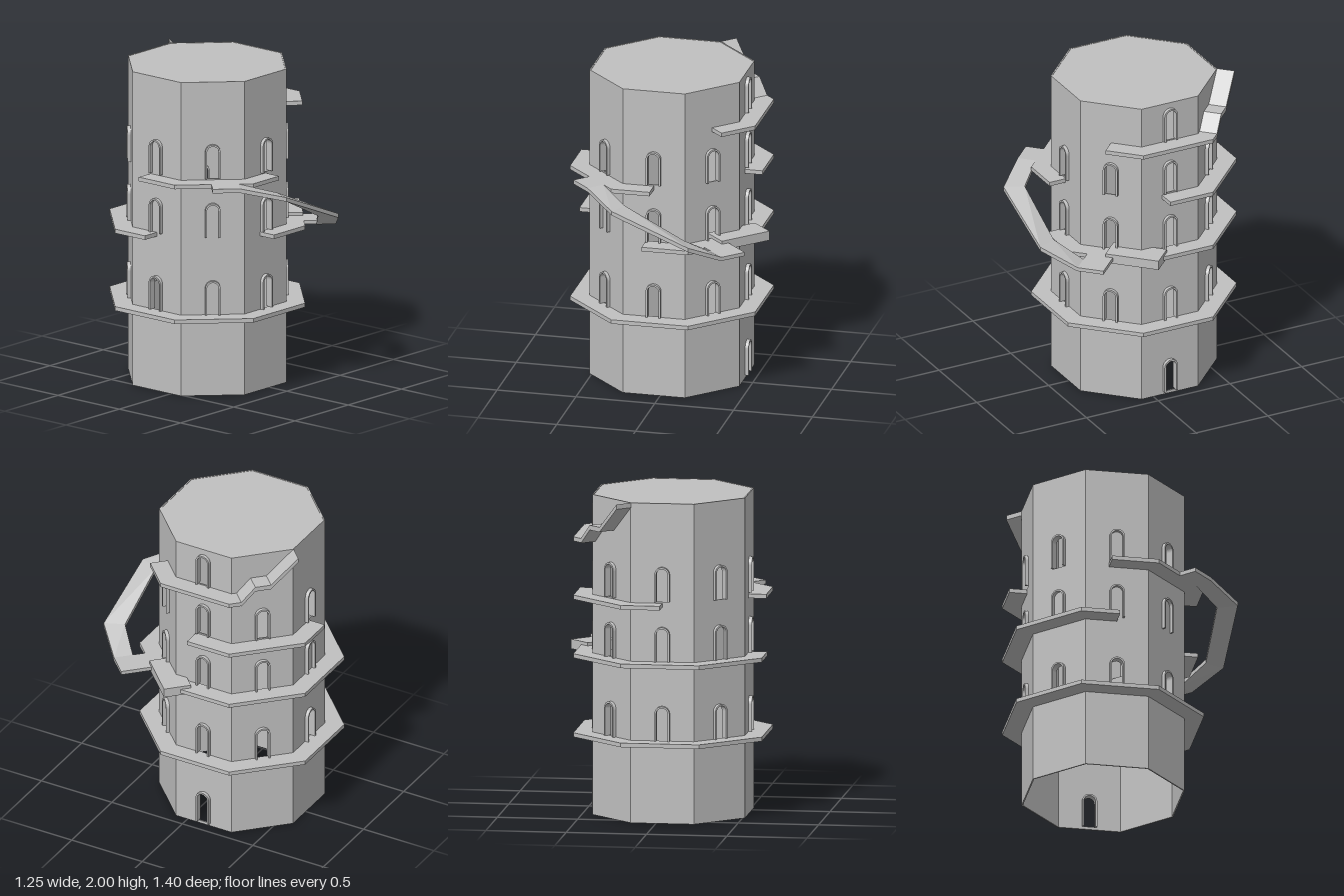
import * as THREE from 'three';

const CX = -0.04, CZ = -0.115;      // tower axis
const R = 0.475, OUT = 0.587;       // wall and walkway apothems
const TAN = Math.tan(Math.PI / 8);
const HALF = R * TAN;

// Point on octagon side k (0 = front, counting towards +x), r outwards, t along the side
function at(k, r, t) {
  const a = k * Math.PI / 4;
  return [CX + r * Math.sin(a) + t * Math.cos(a), CZ + r * Math.cos(a) - t * Math.sin(a)];
}
const cut = (k, t, y, r0 = R, r1 = OUT) => [at(k, r0, t), at(k, r1, t), y];

// Solid slab through cross-sections [inner xz, outer xz, top y]
function slab(sections, thick) {
  const loops = sections.map(([i, o, y]) => [
    [i[0], y, i[1]], [o[0], y, o[1]], [o[0], y - thick, o[1]], [i[0], y - thick, i[1]]]);
  const pos = [];
  const quad = (a, b, c, d) => pos.push(...a, ...b, ...c, ...a, ...c, ...d);
  for (let s = 0; s < loops.length - 1; s++) {
    const p = loops[s], q = loops[s + 1];
    for (let j = 0; j < 4; j++) quad(p[j], p[(j + 1) % 4], q[(j + 1) % 4], q[j]);
  }
  const f = loops[0], l = loops[loops.length - 1];
  quad(f[0], f[3], f[2], f[1]);
  quad(l[0], l[1], l[2], l[3]);
  const g = new THREE.BufferGeometry();
  g.setAttribute('position', new THREE.Float32BufferAttribute(pos, 3));
  g.computeVertexNormals();
  return g;
}

// Walkway sections from side k0 to side k1, turning at each corner
function walkway(k0, t0, k1, t1, y) {
  const list = [cut(k0, t0, y)];
  for (let k = k0; k < k1; k++) list.push([at(k, R, R * TAN), at(k, OUT, OUT * TAN), y]);
  list.push(cut(k1, t1, y));
  return slab(list, 0.026);
}

// Round-topped opening outline
function arch(path, half, y0, top) {
  path.moveTo(-half, y0);
  path.lineTo(half, y0);
  path.lineTo(half, top - half);
  path.absarc(0, top - half, half, 0, Math.PI, false);
  path.lineTo(-half, y0);
  return path;
}

// Arched frame open at its foot
function frameGeometry() {
  const w = 0.047, n = 0.036, h = 0.218, s = new THREE.Shape();
  s.moveTo(n, 0);
  s.lineTo(w, 0);
  s.lineTo(w, h - w);
  s.absarc(0, h - w, w, 0, Math.PI, false);
  s.lineTo(-w, 0);
  s.lineTo(-n, 0);
  s.lineTo(-n, h - w);
  s.absarc(0, h - w, n, Math.PI, 0, true);
  s.lineTo(n, 0);
  return new THREE.ExtrudeGeometry(s, { depth: 0.045, bevelEnabled: false, curveSegments: 8 });
}

export function createModel() {
  const group = new THREE.Group();
  const stone = new THREE.MeshStandardMaterial({ color: 0xc0c0c0 });
  stone.name = 'grey stone';
  const add = (name, geometry, parent = group) => {
    const m = new THREE.Mesh(geometry, stone);
    m.name = name;
    parent.add(m);
    return m;
  };

  // Eight wall panels with arched windows; some on the middle levels are blind
  const frame = frameGeometry();
  const blind = { 1.01: [4, 5, 6, 7], 1.385: [6] };
  for (let k = 0; k < 8; k++) {
    const side = new THREE.Group();
    side.name = 'wallSide';
    side.position.set(CX, 0, CZ);
    side.rotation.y = k * Math.PI / 4;
    group.add(side);
    const levels = k === 2 ? [0.018, 0.516, 1.01, 1.385, 1.745] : [0.516, 1.01, 1.385];
    const wall = new THREE.Shape();
    wall.moveTo(-HALF, 0);
    wall.lineTo(HALF, 0);
    wall.lineTo(HALF, 2);
    wall.lineTo(-HALF, 2);
    for (const y of levels) {
      if (!(blind[y] || []).includes(k)) wall.holes.push(arch(new THREE.Path(), 0.037, y, y + 0.208));
      add('windowFrame', frame, side).position.set(0, y, R - 0.023);
    }
    const panel = new THREE.ExtrudeGeometry(wall, { depth: 0.008, bevelEnabled: false, curveSegments: 8 });
    add('wallPanel', panel, side).position.z = R - 0.008;
  }

  // Roof
  const roof = add('roof', new THREE.CylinderGeometry(0.505, 0.505, 0.01, 8));
  roof.position.set(CX, 1.993, CZ);
  roof.rotation.y = Math.PI / 8;

  // Walkways around the tower
  add('lowerWalkway', walkway(0, 0, 8, 0, 0.516));
  add('middleWalkway', walkway(0, -0.05, 6, 0, 1.01));
  add('upperWalkwayLeft', walkway(6, -0.05, 8, 0, 1.376));
  add('upperWalkwayRight', walkway(2, -0.055, 4, 0, 1.376));
  add('topWalkway', walkway(1, 0, 3, -0.165, 1.74));

  // Stair from the top walkway to the roof
  add('roofStair', slab([[-0.165, 1.74], [-0.075, 1.835], [0.025, 1.835], [0.199, 2]]
    .map(([t, y]) => cut(3, t, y)), 0.03));

  // Thick platform and the outer ramp with its landings
  add('platform', slab([cut(1, 0, 1.03, 0.42, 0.592), cut(1, 0.343, 1.03, 0.42, 0.592)], 0.06));
  add('rampLanding', slab([cut(1, -0.12, 1.01, R, 0.785), cut(1, 0.047, 1.01, R, 0.785)], 0.024));
  add('outerRamp', slab([
    cut(7, -0.016, 1.376, 0.587, 0.702),
    cut(7, 0.152, 1.376, 0.587, 0.702),
    [[-0.175, 0.574], [-0.226, 0.695], 1.315],
    [[0.207, 0.574], [0.26, 0.695], 1.115],
    cut(1, -0.12, 1.01, 0.665, 0.785),
  ], 0.026));

  return group;
}
